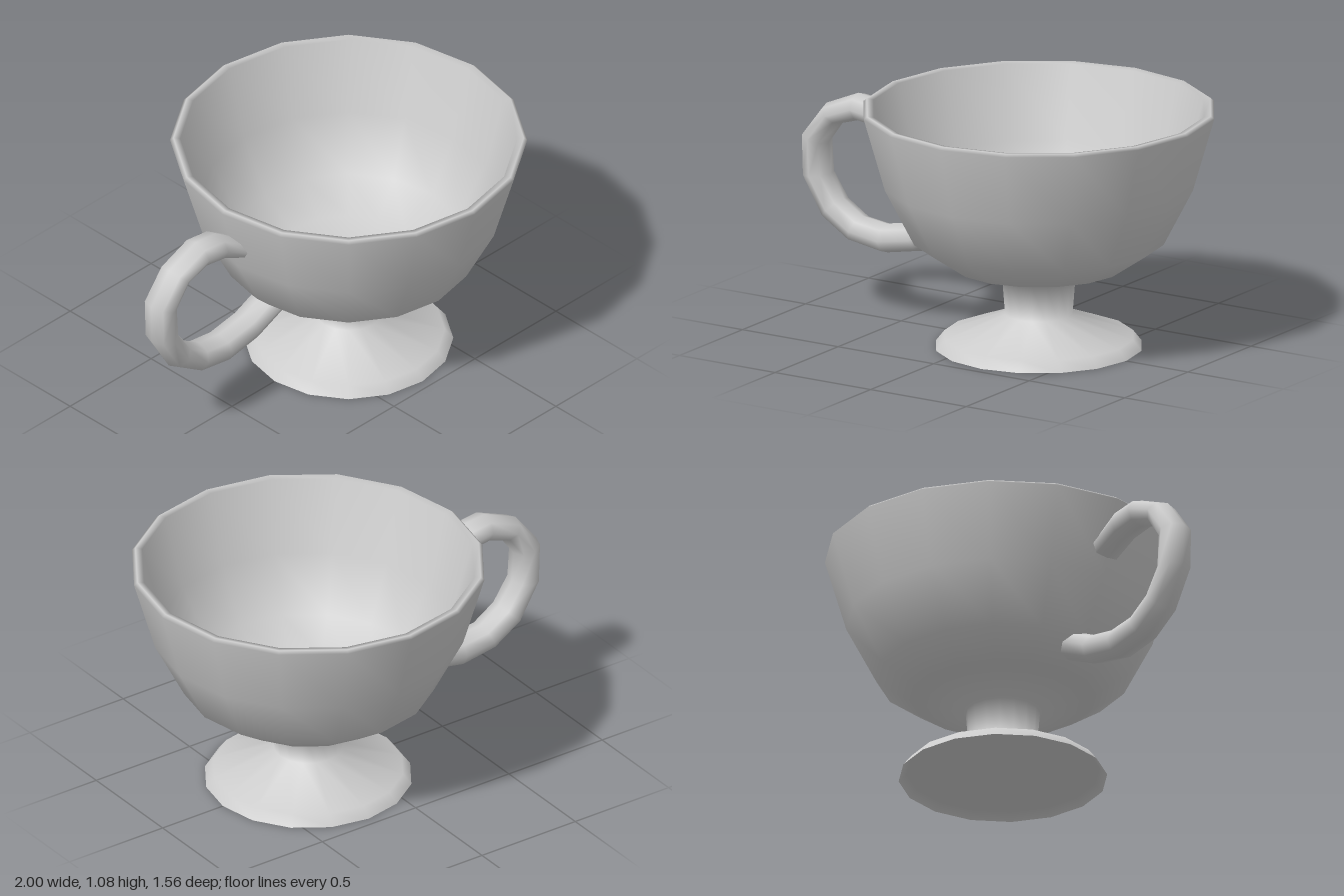
import * as THREE from 'three';

const SIDES = 16;
const CENTRE_X = 0.22;
const material = new THREE.MeshStandardMaterial({ color: 0xcccccc });

// Turned part around the cup's axis, from [radius, height] pairs
function turned(name, profile) {
  const points = profile.map(([r, y]) => new THREE.Vector2(r, y));
  const mesh = new THREE.Mesh(new THREE.LatheGeometry(points, SIDES), material);
  mesh.name = name;
  mesh.position.x = CENTRE_X;
  return mesh;
}

// Oval tube through rings given as [outerX, outerY, innerX, innerY]
function ovalTube(name, rings, halfDepth, sides) {
  const positions = [], index = [];
  rings.forEach(([ox, oy, ix, iy], i) => {
    for (let j = 0; j < sides; j++) {
      const a = (j / sides) * Math.PI * 2;
      const k = Math.cos(a) / 2;
      positions.push(
        (ox + ix) / 2 + (ox - ix) * k,
        (oy + iy) / 2 + (oy - iy) * k,
        Math.sin(a) * halfDepth
      );
      if (i === rings.length - 1) continue;
      const p = i * sides + j, q = i * sides + (j + 1) % sides;
      index.push(p, p + sides, q, q, p + sides, q + sides);
    }
  });
  const geometry = new THREE.BufferGeometry();
  geometry.setAttribute('position', new THREE.Float32BufferAttribute(positions, 3));
  geometry.setIndex(index);
  geometry.computeVertexNormals();
  const mesh = new THREE.Mesh(geometry, material);
  mesh.name = name;
  return mesh;
}

export function createModel() {
  const cup = new THREE.Group();
  cup.name = 'footedCup';

  // Foot, stem, outer bowl, rim and inner bowl in one continuous profile
  cup.add(turned('bowlAndFoot', [
    [0.457, 0], [0.42, 0.047], [0.15, 0.148], [0.163, 0.312],
    [0.385, 0.37], [0.555, 0.485], [0.686, 0.74], [0.78, 1.067],
    [0.765, 1.08], [0.735, 1.075],
    [0.645, 0.75], [0.515, 0.51], [0.35, 0.405], [0.16, 0.36], [0, 0.355],
  ]));

  // Shallow hollow under the foot
  cup.add(turned('footUnderside', [[0, 0.04], [0.42, 0.035], [0.457, 0]]));

  // Loop handle, ending inside the thickness of the bowl wall
  cup.add(ovalTube('handle', [
    [-0.475, 0.90, -0.445, 0.79],
    [-0.60, 0.985, -0.60, 0.862],
    [-0.725, 1.0, -0.71, 0.88],
    [-0.89, 0.93, -0.81, 0.85],
    [-1.0, 0.79, -0.88, 0.75],
    [-0.995, 0.60, -0.87, 0.61],
    [-0.89, 0.42, -0.80, 0.51],
    [-0.75, 0.33, -0.70, 0.445],
    [-0.57, 0.30, -0.58, 0.43],
    [-0.39, 0.335, -0.43, 0.455],
    [-0.20, 0.42, -0.31, 0.51],
  ], 0.08, 8));

  return cup;
}
